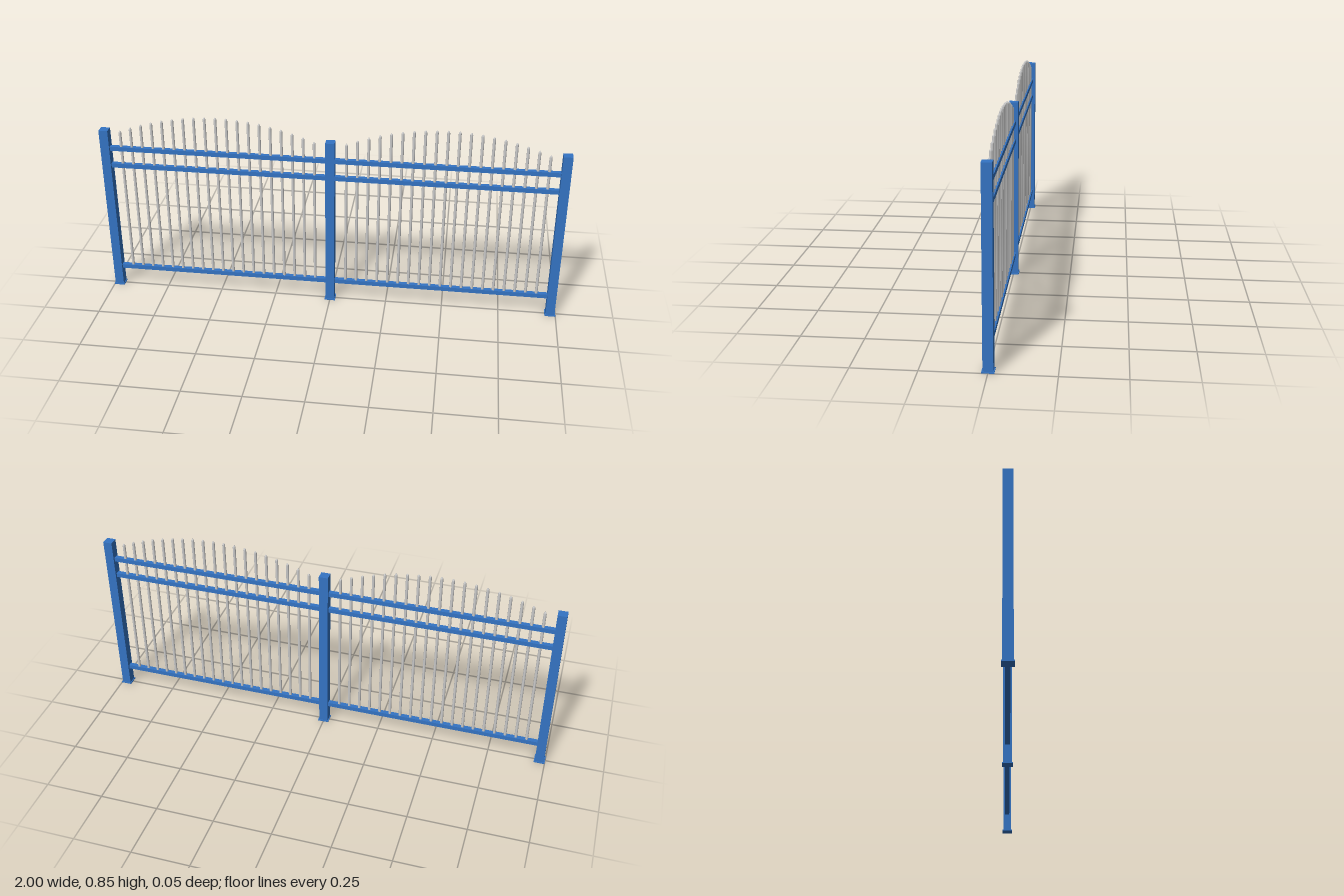
import * as THREE from 'three';

const BLUE = new THREE.MeshStandardMaterial({ color: 0x3474c4 });
const GREY = new THREE.MeshStandardMaterial({ color: 0xcccccc });

const POST_X = 0.9765;   // outer post centre
const POST_W = 0.039;
const POST_H = 0.772;
const PICKETS = 19;      // per panel
const PICKET_R = 0.0062;

function box(name, w, h, d, x, y) {
  const mesh = new THREE.Mesh(new THREE.BoxGeometry(w, h, d), BLUE);
  mesh.name = name;
  mesh.position.set(x, y, 0);
  return mesh;
}

// Square post standing on a slightly wider foot plate
function createPost(x) {
  const post = new THREE.Group();
  post.name = 'post';
  post.add(box('postShaft', POST_W, POST_H, POST_W, x, POST_H / 2));
  post.add(box('footPlate', 0.047, 0.005, 0.047, x, 0.0025));
  return post;
}

// Round rod with a pointed tip
function createPicket(x, bottom, top) {
  const profile = [
    [0, bottom], [PICKET_R, bottom], [PICKET_R, top - 0.011],
    [PICKET_R * 0.65, top - 0.005], [0, top],
  ].map(([r, y]) => new THREE.Vector2(r, y));
  const mesh = new THREE.Mesh(new THREE.LatheGeometry(profile, 12), GREY);
  mesh.name = 'picket';
  mesh.position.x = x;
  return mesh;
}

// Three rails between two posts, with pickets rising in an arch
function createPanel(name, centre) {
  const panel = new THREE.Group();
  panel.name = name;
  const rails = [['bottomRail', 0.093], ['middleRail', 0.605], ['topRail', 0.685]];
  for (const [railName, y] of rails) {
    panel.add(box(railName, POST_X - POST_W + 0.004, 0.019, 0.02, centre, y));
  }
  for (let i = 0; i < PICKETS; i++) {
    const u = (2 * i) / (PICKETS - 1) - 1;
    panel.add(createPicket(centre + u * 0.42, 0.095, 0.854 - 0.085 * u * u));
  }
  return panel;
}

export function createModel() {
  const fence = new THREE.Group();
  fence.name = 'fence';
  for (const x of [-POST_X, 0, POST_X]) fence.add(createPost(x));
  fence.add(createPanel('rightPanel', -POST_X / 2));
  fence.add(createPanel('leftPanel', POST_X / 2));
  return fence;
}
